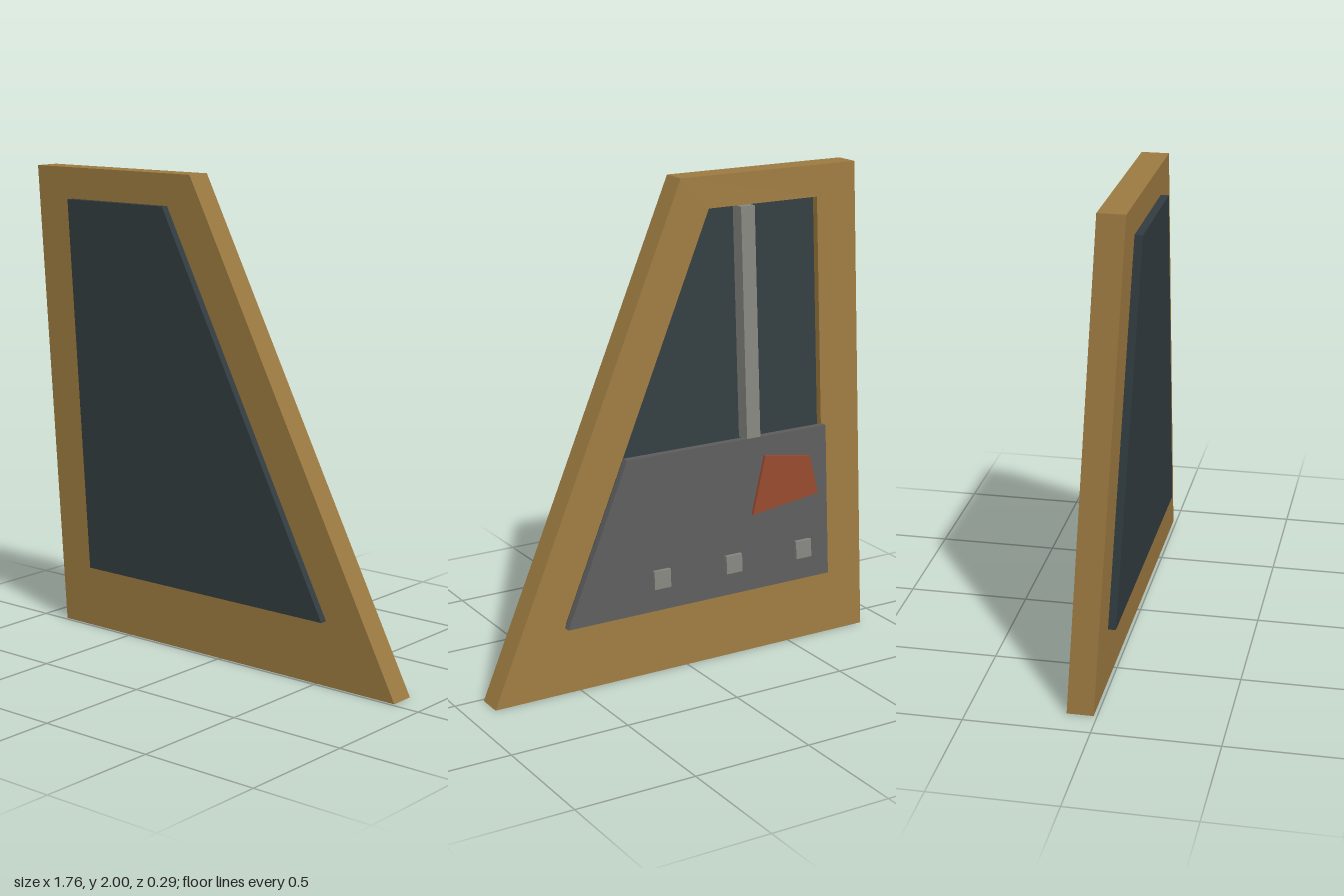
import * as THREE from 'three';

// Slanting: every part leans forward with height
const lean = new THREE.Matrix4().set(
  1, 0, 0, 0,
  0, 1, 0, 0,
  0, 0.0665, 1, -0.0665,
  0, 0, 0, 1,
);

const toPoints = (list) => list.map(([x, y]) => new THREE.Vector2(x, y));
const rect = (x0, x1, y0, y1) => [[x0, y0], [x1, y0], [x1, y1], [x0, y1]];

// Leaning slab with a polygon outline between two depths
function slab(name, outline, z0, z1, color, hole) {
  const shape = new THREE.Shape(toPoints(outline));
  if (hole) shape.holes.push(new THREE.Path(toPoints(hole)));
  const geometry = new THREE.ExtrudeGeometry(shape, { depth: z1 - z0, bevelEnabled: false });
  geometry.translate(0, 0, z0).applyMatrix4(lean);
  geometry.computeVertexNormals();
  const material = new THREE.MeshStandardMaterial({ color, flatShading: true });
  const mesh = new THREE.Mesh(geometry, material);
  mesh.name = name;
  return mesh;
}

export function createModel() {
  const model = new THREE.Group();
  model.name = 'slantedPanel';

  const outer = [[-0.88, 0], [0.88, 0], [-0.045, 2], [-0.88, 2]];
  const opening = [[-0.69, 0.275], [0.56, 0.275], [-0.17, 1.87], [-0.69, 1.87]];
  const coverOutline = [[-0.69, 0.275], [0.56, 0.275], [0.265, 0.92], [-0.69, 0.92]];
  const patchOutline = [[-0.636, 0.64], [-0.312, 0.6], [-0.378, 0.84], [-0.6, 0.805]];

  // Frame with the dark pane filling its opening, proud at the front
  model.add(slab('frame', outer, -0.053, 0.053, 0x9c7a40, opening));
  model.add(slab('pane', opening, -0.024, 0.084, 0x323c40));

  // Back: lower cover plate, upright strut and coloured patch
  model.add(slab('coverPlate', coverOutline, -0.087, -0.056, 0x5c5c5c));
  model.add(slab('strut', rect(-0.365, -0.3, 0.915, 1.87), -0.086, -0.02, 0x858580));
  model.add(slab('patch', patchOutline, -0.1, -0.085, 0x94482c));

  // Row of square studs along the bottom of the cover
  const studs = new THREE.Group();
  studs.name = 'studs';
  for (const x of [-0.558, -0.213, 0.13]) {
    studs.add(slab('stud', rect(x - 0.038, x + 0.038, 0.37, 0.446), -0.102, -0.085, 0x858580));
  }
  model.add(studs);
  return model;
}
